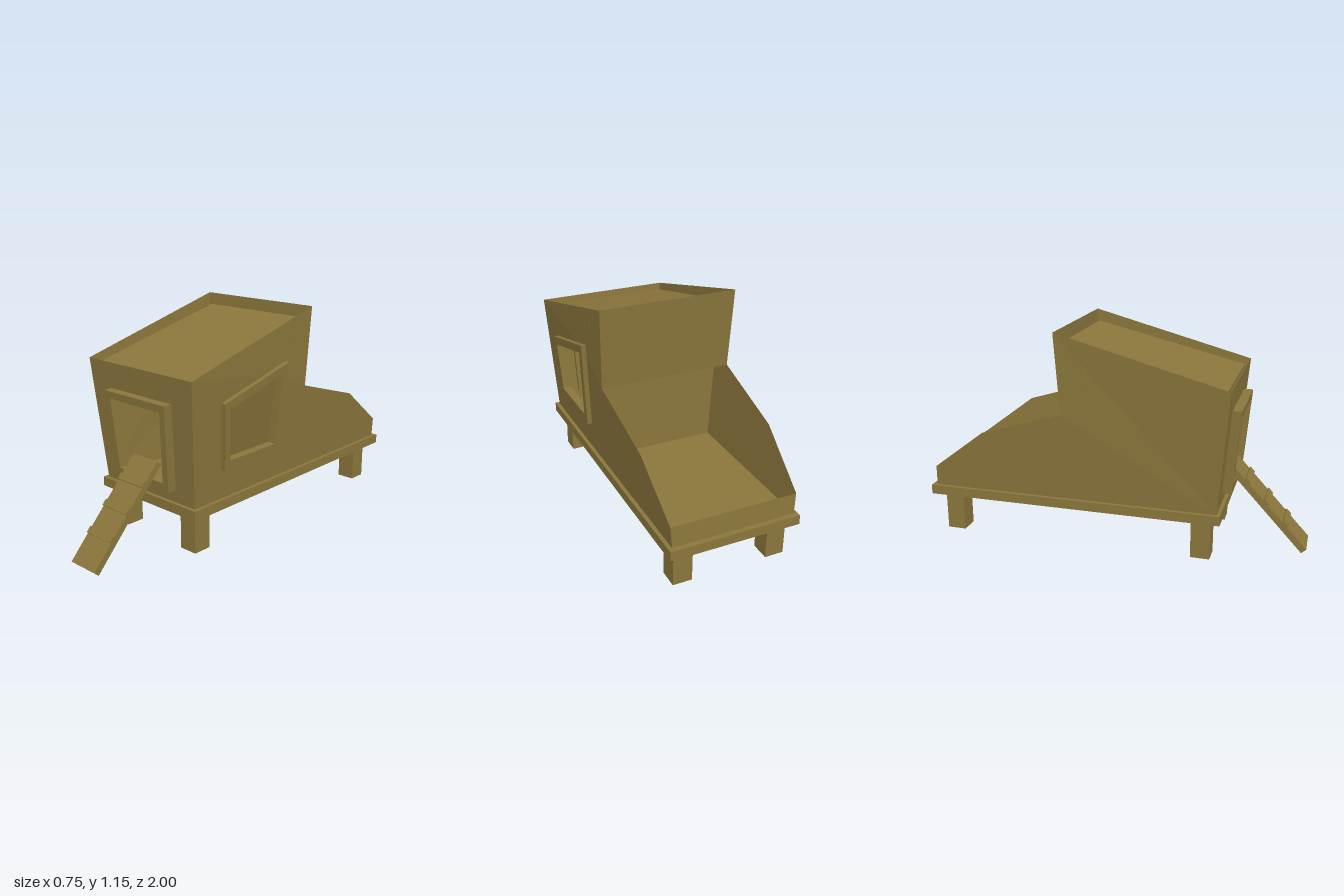
import * as THREE from 'three';

const material = new THREE.MeshStandardMaterial({ color: 0x8a753b, flatShading: true, side: THREE.DoubleSide });
const CX = -0.01; // the house sits slightly off the centre line

// The house flares outward up to the front eave
const halfWidth = (y) => 0.32 + 0.045 * Math.min(1, (y - 0.27) / 0.65);
const frontZ = (y) => 0.56 + 0.055 * (y - 0.27) / 0.65;

const points = (list) => list.map(([x, y]) => new THREE.Vector2(x, y));

function outline(outer, hole) {
  const shape = new THREE.Shape(points(outer));
  if (hole) shape.holes.push(new THREE.Path(points(hole)));
  return shape;
}

// Move every vertex (u, v, d) of a flat or extruded panel onto its wall
function bend(geometry, place) {
  const p = geometry.attributes.position;
  for (let i = 0; i < p.count; i++) p.setXYZ(i, ...place(p.getX(i), p.getY(i), p.getZ(i)));
  geometry.computeVertexNormals();
  return geometry;
}

const onFront = (u, v, d) => [u, v, frontZ(v) + d];
const onSide = (s) => (u, v, d) => [CX + s * (halfWidth(v) + d), v, -u];

export function createModel() {
  const group = new THREE.Group();
  const add = (name, geometry, x = 0, y = 0, z = 0) => {
    const mesh = new THREE.Mesh(geometry, material);
    mesh.name = name;
    mesh.position.set(x, y, z);
    group.add(mesh);
    return mesh;
  };
  const frame = (name, outer, inner, inset, out, place) => {
    const g = new THREE.ExtrudeGeometry(outline(outer, inner), { depth: inset + out, bevelEnabled: false });
    g.translate(0, 0, -inset);
    add(name, bend(g, place));
  };
  // Straight wall across the house between two heights
  const crossWall = (name, y0, z0, y1, z1) => {
    const a = halfWidth(y0), b = halfWidth(y1);
    const g = new THREE.ShapeGeometry(outline([[-a, y0], [a, y0], [b, y1], [-b, y1]]));
    add(name, bend(g, (u, v) => [CX + u, v, z0 + (z1 - z0) * (v - y0) / (y1 - y0)]));
  };

  // Floor slab and hollow square legs
  add('floor', new THREE.BoxGeometry(0.68, 0.05, 1.58), CX, 0.247, -0.21);
  for (const x of [-0.26, 0.24]) for (const z of [0.48, -0.88]) {
    const leg = new THREE.CylinderGeometry(0.0707, 0.0707, 0.21, 4, 1, true).rotateY(Math.PI / 4);
    add('leg', leg, x - 0.01, 0.123, z);
  }

  // Side walls, with a window opening on the left (u = -z)
  const profile = [[-0.56, 0.27], [0.975, 0.27], [0.97, 0.38], [0.68, 0.6], [0.24, 0.735], [0.265, 1.155], [-0.615, 0.92]];
  const windowOuter = [[-0.385, 0.43], [0.025, 0.43], [0.055, 0.9], [-0.41, 0.775]];
  const windowInner = [[-0.35, 0.475], [-0.012, 0.475], [0.012, 0.845], [-0.37, 0.74]];
  add('leftWall', bend(new THREE.ShapeGeometry(outline(profile, windowInner)), onSide(1)));
  add('rightWall', bend(new THREE.ShapeGeometry(outline(profile)), onSide(-1)));
  frame('windowFrame', windowOuter, windowInner, 0.02, 0.025, onSide(1));

  // Front wall with doorway
  const doorOuter = [[-0.2, 0.34], [0.187, 0.34], [0.208, 0.785], [-0.222, 0.785]];
  const doorInner = [[-0.165, 0.38], [0.15, 0.38], [0.172, 0.747], [-0.185, 0.747]];
  const front = [[CX - 0.32, 0.27], [CX + 0.32, 0.27], [CX + 0.365, 0.92], [CX - 0.365, 0.92]];
  add('frontWall', bend(new THREE.ShapeGeometry(outline(front, doorInner)), onFront));
  frame('doorFrame', doorOuter, doorInner, 0.02, 0.048, onFront);

  // Upper back wall, inner partition and low wall of the run
  crossWall('backWall', 0.735, -0.24, 1.155, -0.265);
  crossWall('partition', 0.27, -0.12, 1.04, -0.12);
  crossWall('runWall', 0.27, -0.975, 0.38, -0.97);

  // Sloping roof sunk below the wall tops
  const rise = 0.2, run = 0.83;
  const roof = add('roof', new THREE.BoxGeometry(0.66, 0.02, Math.hypot(rise, run)), CX, 0.985, 0.17);
  roof.rotation.x = Math.atan2(rise, run);

  // Ramp with cleats
  const ramp = new THREE.Group();
  ramp.name = 'ramp';
  ramp.position.set(-0.004, 0.235, 0.781);
  ramp.rotation.x = Math.atan2(0.44, 0.41);
  group.add(ramp);
  const plank = add('rampPlank', new THREE.BoxGeometry(0.174, 0.034, 0.605));
  ramp.add(plank);
  for (const z of [-0.17, -0.02, 0.13]) {
    ramp.add(add('rampCleat', new THREE.BoxGeometry(0.174, 0.014, 0.035), 0, 0.02, z));
  }
  return group;
}
